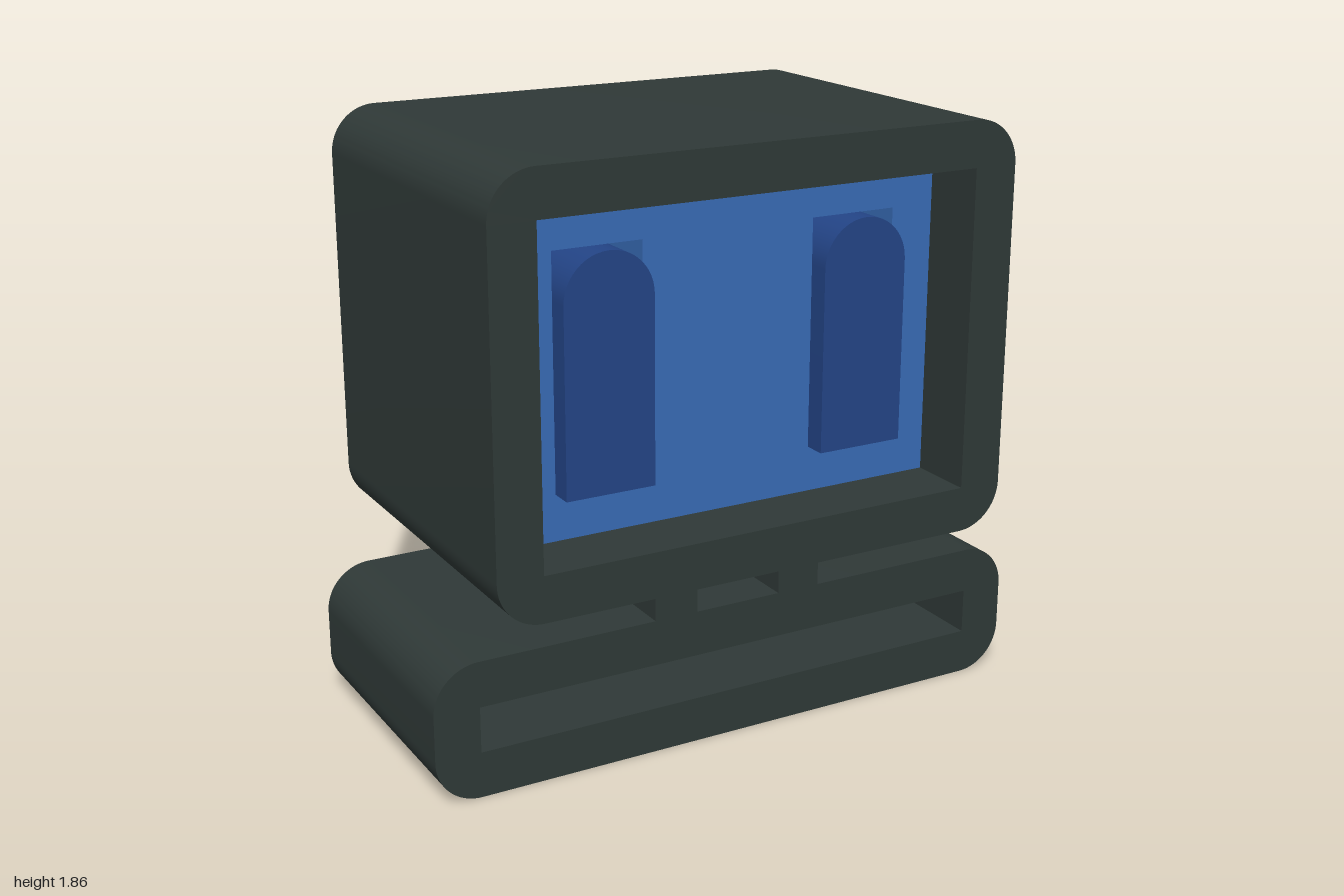
import * as THREE from 'three';
import { toCreasedNormals } from 'three/addons/utils/BufferGeometryUtils.js';

const U = 1 / 7; // every size is a multiple of this module

function material(name, color) {
  const m = new THREE.MeshStandardMaterial({ color });
  m.name = name;
  return m;
}

// Rectangle path centred on x, from y0 to y1
function rect(Type, x, y0, y1, w) {
  const p = new Type();
  p.moveTo(x - w / 2, y0);
  p.lineTo(x + w / 2, y0);
  p.lineTo(x + w / 2, y1);
  p.lineTo(x - w / 2, y1);
  p.closePath();
  return p;
}

// Rounded rectangle shape centred on x = 0
function roundedRect(w, y0, y1, r) {
  const s = new THREE.Shape();
  const x = w / 2 - r;
  s.absarc(x, y0 + r, r, -Math.PI / 2, 0);
  s.absarc(x, y1 - r, r, 0, Math.PI / 2);
  s.absarc(-x, y1 - r, r, Math.PI / 2, Math.PI);
  s.absarc(-x, y0 + r, r, Math.PI, Math.PI * 1.5);
  s.closePath();
  return s;
}

export function createModel() {
  const group = new THREE.Group();
  const casing = material('charcoal casing', 0x2f3937);
  const blue = material('screen blue', 0x386bb5);
  const navy = material('eye navy', 0x234486);
  const slate = material('slate inset', 0x485c6e);

  // Extrude a shape symmetrically about z = 0
  function slab(name, shape, halfDepth, mat) {
    const geo = new THREE.ExtrudeGeometry(shape, { depth: halfDepth * 2, bevelEnabled: false, curveSegments: 12 });
    geo.translate(0, 0, -halfDepth);
    const mesh = new THREE.Mesh(toCreasedNormals(geo, 0.6), mat);
    mesh.name = name;
    group.add(mesh);
  }

  // Keyboard-like base with a slot through it
  const base = roundedRect(14 * U, 0, 3 * U, U);
  base.holes.push(rect(THREE.Path, 0, U, 2 * U, 12 * U));
  slab('base', base, 3 * U, casing);
  slab('baseInset', rect(THREE.Shape, 0, U, 2 * U, 12 * U), U / 2, slate);

  // Two neck posts with an inset between them
  for (const [side, name] of [[1, 'leftNeckPost'], [-1, 'rightNeckPost']]) {
    slab(name, rect(THREE.Shape, side * 1.5 * U, 3 * U, 4 * U, U), 3 * U, casing);
  }
  slab('neckInset', rect(THREE.Shape, 0, 3 * U, 4 * U, 2 * U), U / 2, slate);

  // Monitor casing, open at front and back
  const monitor = roundedRect(12 * U, 4 * U, 13 * U, U);
  monitor.holes.push(rect(THREE.Path, 0, 5 * U, 12 * U, 10 * U));
  slab('monitorCasing', monitor, 4 * U, casing);

  // Screen with rectangular eye cut-outs
  const screen = rect(THREE.Shape, 0, 5 * U, 12 * U, 10 * U);
  for (const side of [-1, 1]) screen.holes.push(rect(THREE.Path, side * 3 * U, 6 * U, 11 * U, 2 * U));
  slab('screen', screen, 2.5 * U, blue);

  // Arched eyes passing through the cut-outs
  for (const [side, name] of [[1, 'leftEye'], [-1, 'rightEye']]) {
    const x = side * 3 * U;
    const eye = new THREE.Shape();
    eye.moveTo(x - U, 6 * U);
    eye.lineTo(x + U, 6 * U);
    eye.absarc(x, 10 * U, U, 0, Math.PI);
    eye.closePath();
    slab(name, eye, 3 * U, navy);
  }
  return group;
}
